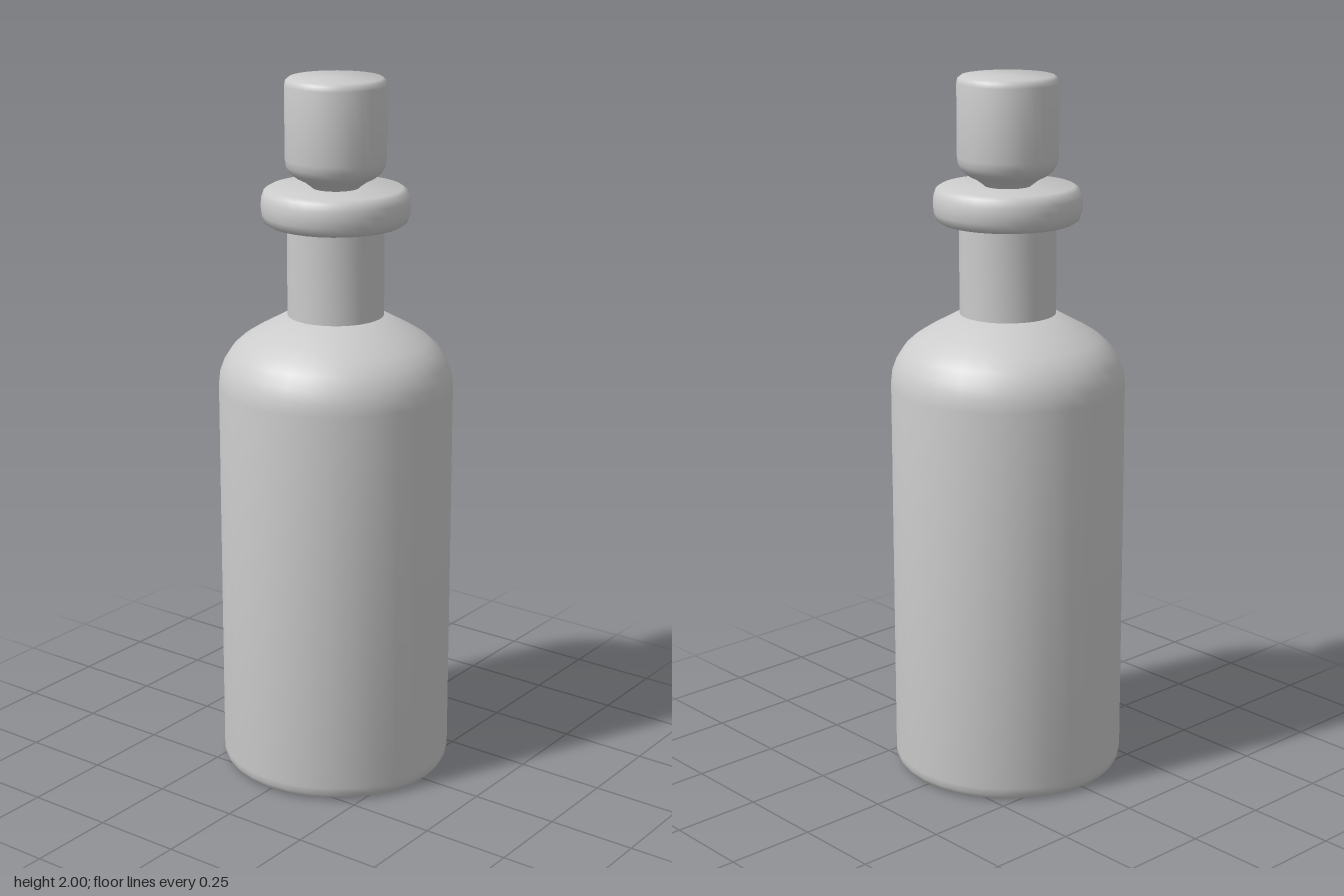
import * as THREE from 'three';
import { toCreasedNormals } from 'three/addons/utils/BufferGeometryUtils.js';

const material = new THREE.MeshStandardMaterial({ color: 0xcccccc });

// Revolve a bottom-to-top profile of [radius, height] pairs.
function turned(name, profile) {
  const points = profile.map(([r, y]) => new THREE.Vector2(r, y));
  const geometry = toCreasedNormals(new THREE.LatheGeometry(points, 32), 0.8);
  const mesh = new THREE.Mesh(geometry, material);
  mesh.name = name;
  return mesh;
}

export function createModel() {
  const bottle = new THREE.Group();
  bottle.name = 'bottle';

  // Body with a softened base edge and rounded shoulder
  bottle.add(turned('body', [
    [0, 0], [0.305, 0], [0.32, 0.007], [0.328, 0.022], [0.33, 0.04],
    [0.33, 1.14], [0.326, 1.175], [0.313, 1.21], [0.292, 1.243],
    [0.262, 1.27], [0.225, 1.293], [0.136, 1.342], [0, 1.342],
  ]));

  // Straight neck
  bottle.add(turned('neck', [[0.135, 1.335], [0.135, 1.61]]));

  // Rounded collar at the mouth
  bottle.add(turned('collar', [
    [0, 1.6], [0.185, 1.6], [0.198, 1.608], [0.205, 1.628], [0.207, 1.65],
    [0.205, 1.672], [0.198, 1.692], [0.185, 1.7], [0, 1.7],
  ]));

  // Stopper: narrow stem flaring into a cylindrical head
  bottle.add(turned('stopper', [
    [0.06, 1.695], [0.068, 1.703], [0.088, 1.718], [0.11, 1.729], [0.127, 1.743],
    [0.137, 1.76], [0.14, 1.78], [0.14, 1.98], [0.137, 1.993],
    [0.128, 2], [0, 2],
  ]));

  return bottle;
}
